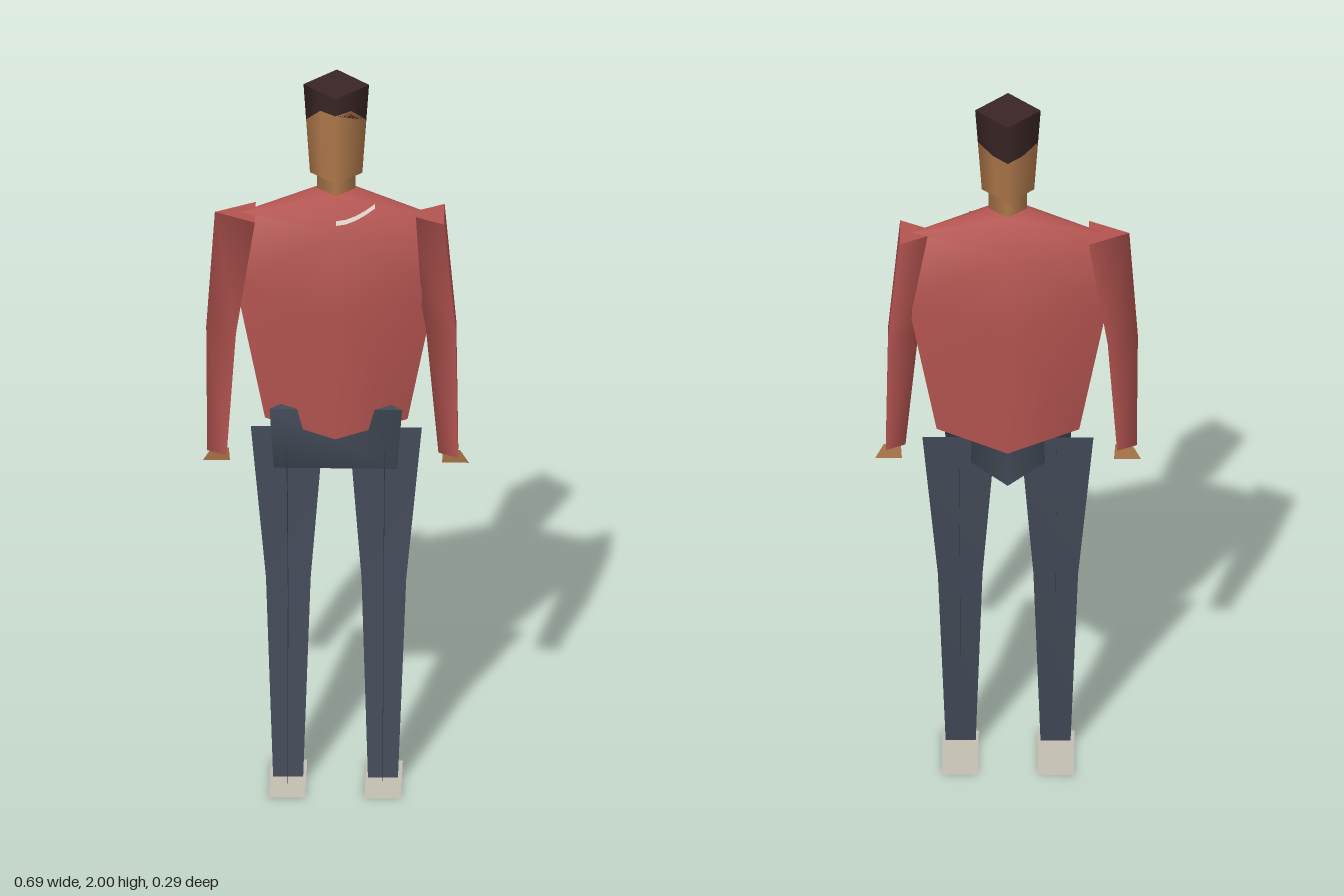
import * as THREE from 'three';
import { toCreasedNormals } from 'three/addons/utils/BufferGeometryUtils.js';

const material = (name, color, side = THREE.FrontSide) => {
  const m = new THREE.MeshStandardMaterial({ color, side });
  m.name = name;
  return m;
};

// Skin a stack of rings (bottom to top, counter-clockwise from above), with flat caps.
function loft(rings, crease) {
  const n = rings[0].length, pos = [], index = [];
  rings.forEach((ring) => ring.forEach((p) => pos.push(...p)));
  for (let j = 0; j < rings.length - 1; j++) {
    for (let i = 0; i < n; i++) {
      const a = j * n + i, c = j * n + (i + 1) % n, b = a + n, d = c + n;
      if (i % 2 === 0) index.push(a, c, b, b, c, d);
      else index.push(a, c, d, a, d, b);
    }
  }
  [rings[0], rings[rings.length - 1]].forEach((ring, top) => {
    const s = pos.length / 3;
    ring.forEach((p) => pos.push(...p));
    for (let i = 1; i < n - 1; i++) {
      if (top) index.push(s, s + i, s + i + 1);
      else index.push(s, s + i + 1, s + i);
    }
  });
  const g = new THREE.BufferGeometry();
  g.setAttribute('position', new THREE.Float32BufferAttribute(pos, 3));
  g.setIndex(index);
  g.computeVertexNormals();
  return crease ? toCreasedNormals(g, crease) : g;
}

// Strip of quads between paired edge points.
function strip(pairs) {
  const pos = [], index = [];
  pairs.forEach(([p, q], i) => {
    pos.push(...p, ...q);
    const k = i * 2;
    if (i) index.push(k - 2, k - 1, k, k - 1, k + 1, k);
  });
  const g = new THREE.BufferGeometry();
  g.setAttribute('position', new THREE.Float32BufferAttribute(pos, 3));
  g.setIndex(index);
  g.computeVertexNormals();
  return g;
}

// Four-cornered ring: front, left, back, right.
const diamond = (y, hx, zf, zb) => {
  const zc = (zf + zb) / 2;
  return [[0, y, zf], [hx, y, zc], [0, y, zb], [-hx, y, zc]];
};

// Diamond with midpoints; ys gives front, front-mid, side, back-mid, back heights.
function headRing(ys) {
  const order = [0, 1, 2, 3, 4, 3, 2, 1];
  const dx = [0, 0.5, 1, 0.5, 0, -0.5, -1, -0.5];
  const dz = [1, 0.5, 0, -0.5, -1, -0.5, 0, 0.5];
  return order.map((k, i) => {
    const y = ys[k], t = (y - 1.75) / 0.25, r = 0.068 + 0.017 * t;
    return [dx[i] * r, y, dz[i] * r - 0.013 * t];
  });
}

export function createModel() {
  const model = new THREE.Group();
  const red = material('sweater red', 0xb35450);
  const navy = material('trouser navy', 0x424a57);
  const navySheet = material('trouser leg navy', 0x424a57, THREE.DoubleSide);
  const skin = material('skin', 0xae784a);
  const skinSheet = material('hand skin', 0xae784a, THREE.DoubleSide);
  const hairDark = material('hair dark brown', 0x3a2525);
  const sole = material('shoe grey', 0xc2beb0, THREE.DoubleSide);
  const pale = material('print pale', 0xddd3c8, THREE.DoubleSide);

  const add = (name, geometry, mat, parent = model) => {
    const mesh = new THREE.Mesh(geometry, mat);
    mesh.name = name;
    parent.add(mesh);
    return mesh;
  };

  // Torso and neck
  add('torso', loft([
    diamond(1.025, 0.185, 0.105, -0.135),
    diamond(1.4, 0.258, 0.12, -0.147),
    diamond(1.625, 0.25, 0.095, -0.12),
    diamond(1.7, 0.05, 0.035, -0.06),
  ], 1.2), red);
  add('neck', loft([
    diamond(1.69, 0.05, 0.037, -0.06),
    diamond(1.77, 0.05, 0.037, -0.06),
  ]), skin);

  // Head, split along the hairline
  const flat = (y) => Array(5).fill(y);
  const hairline = [1.95, 1.945, 1.9, 1.88, 1.88];
  add('face', loft([headRing(flat(1.75)), headRing(hairline)]), skin);
  add('hair', loft([headRing(hairline), headRing(flat(2))]), hairDark);

  // Curved pale print on the left front shoulder
  const onShoulder = (s, t) => [
    0.25 * s + 0.0012, 1.625 + 0.075 * t + 0.002, 0.095 - 0.1075 * s - 0.06 * t + 0.0028,
  ];
  add('shoulderPrint', strip([[0, 0.16], [0.1, 0.15], [0.2, 0.2], [0.3, 0.3], [0.4, 0.44]]
    .map(([s, t]) => [onShoulder(s, t), onShoulder(s, t + 0.13)])), pale);

  // Three-sided pelvis, flat in front and pointed behind
  const hip = (y, hx, zf, zb) => [[-hx, y, zf], [hx, y, zf], [0, y, zb]];
  add('pelvis', loft([
    hip(0.92, 0.16, 0.065, -0.125),
    hip(1.08, 0.172, 0.042, -0.13),
  ]), navy);

  // Three-sided arms; both point their ridge the same way
  const armRing = (x, y, z, r) => [
    [x + r / 2, y, z + r * 0.84], [x + r / 2, y, z - r * 0.84], [x - r, y, z],
  ];
  for (const side of [1, -1]) {
    const label = side > 0 ? 'left' : 'right';
    add(label + 'Arm', loft([
      armRing(side * 0.3, 0.95, 0.028, 0.034),
      armRing(side * 0.285, 1.3, 0.005, 0.052),
      armRing(side * 0.245, 1.625, -0.012, 0.07),
    ]), red);

    // Flat hand
    add(label + 'Hand', strip([
      [[side * 0.278, 0.955, 0.022], [side * 0.322, 0.955, 0.022]],
      [[side * 0.275, 0.915, 0.016], [side * 0.345, 0.915, 0.016]],
    ]), skinSheet);

    // Leg of two crossed sheets: centre x, y, z, half width, half depth
    const leg = new THREE.Group();
    leg.name = label + 'Leg';
    model.add(leg);
    const path = [
      [0.127, 1.0, -0.015, 0.095, 0.105],
      [0.124, 0.57, 0.005, 0.058, 0.06],
      [0.123, 0.02, 0.067, 0.039, 0.067],
    ];
    add(label + 'LegWidth', strip(path.map(([x, y, z, w]) =>
      [[side * x - w, y, z], [side * x + w, y, z]])), navySheet, leg);
    add(label + 'LegDepth', strip(path.map(([x, y, z, , d], i) =>
      [[side * x, y + (i === 2 ? 0.004 : 0), z + d], [side * x, y - (i === 2 ? 0.005 : 0), z - d]])),
    navySheet, leg);

    // Flat foot
    const foot = add(label + 'Foot', new THREE.PlaneGeometry(0.095, 0.216), sole);
    foot.rotation.x = -Math.PI / 2;
    foot.position.set(side * 0.124, 0, 0.038);
  }
  return model;
}
